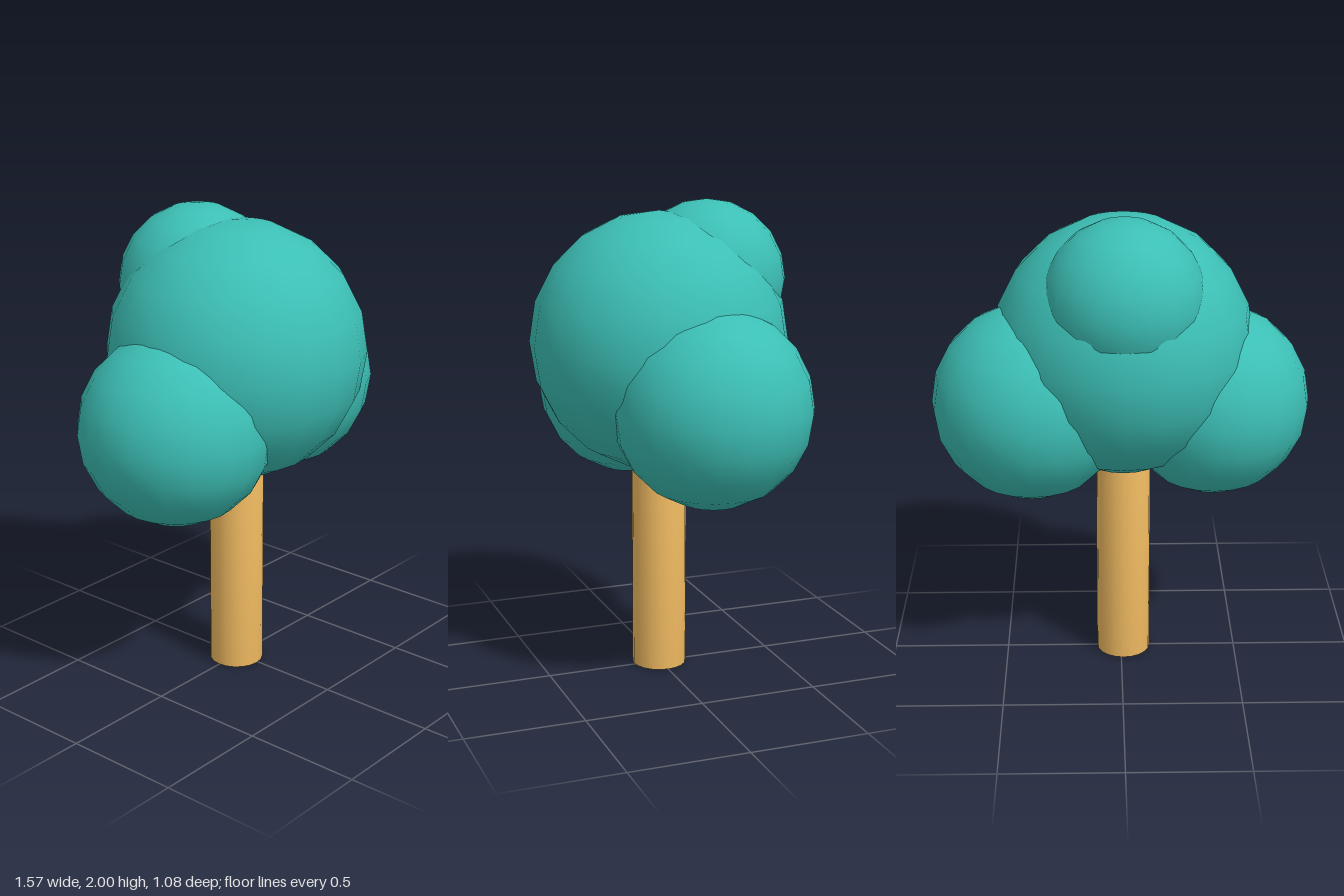
import * as THREE from 'three';
import { mergeVertices } from 'three/addons/utils/BufferGeometryUtils.js';

const leafMaterial = new THREE.MeshStandardMaterial({ color: 0x3cbfb5 });
const barkMaterial = new THREE.MeshStandardMaterial({ color: 0xf2bc62 });

// One rounded clump of foliage
function clump(name, radius, x, y, z) {
  const mesh = new THREE.Mesh(new THREE.SphereGeometry(radius, 20, 10), leafMaterial);
  mesh.name = name;
  mesh.position.set(x, y, z);
  return mesh;
}

// Closed trunk with normals softened across its rims
function makeTrunk(radius, height) {
  let geometry = new THREE.CylinderGeometry(radius, radius, height, 20);
  geometry.deleteAttribute('normal');
  geometry.deleteAttribute('uv');
  geometry = mergeVertices(geometry);
  geometry.computeVertexNormals();
  const mesh = new THREE.Mesh(geometry, barkMaterial);
  mesh.name = 'trunk';
  mesh.position.set(-0.01, height / 2, 0);
  return mesh;
}

export function createModel() {
  const tree = new THREE.Group();
  tree.name = 'tree';

  const foliage = new THREE.Group();
  foliage.name = 'foliage';
  foliage.add(
    clump('mainFoliage', 0.54, -0.01, 1.42, 0),
    clump('rightFoliage', 0.4, -0.385, 1.175, 0),
    clump('leftFoliage', 0.41, 0.37, 1.205, -0.09),
    clump('topFoliage', 0.33, -0.01, 1.67, -0.21),
  );

  tree.add(makeTrunk(0.115, 1.0), foliage);
  return tree;
}
